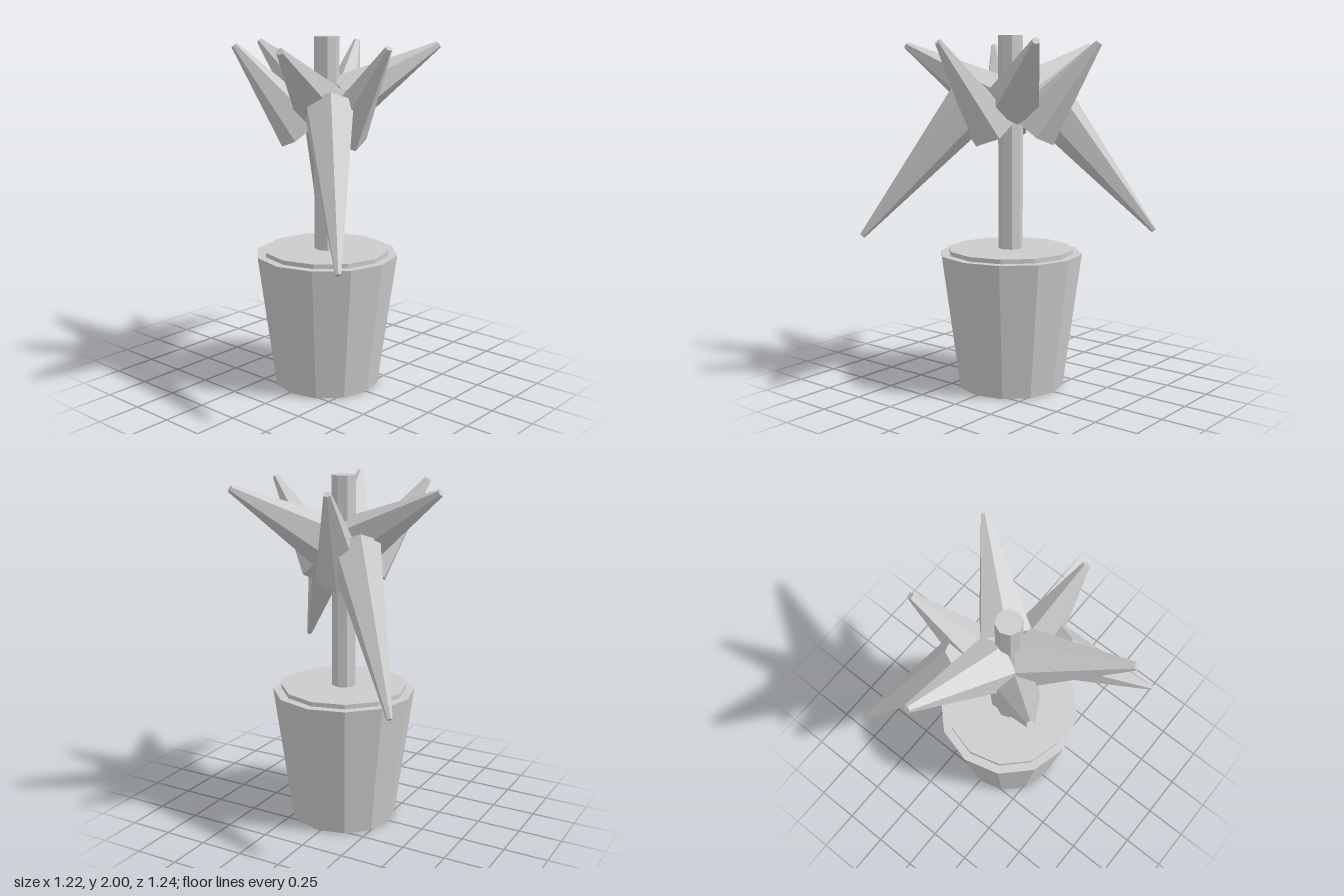
import * as THREE from 'three';

const CENTER_Z = 0.015;
const plainGrey = new THREE.MeshStandardMaterial({ color: 0xcccccc, flatShading: true });
plainGrey.name = 'plainGrey';

// Upright tapered cylinder standing between two heights
function column(name, rTop, rBottom, y0, y1, sides) {
  const geo = new THREE.CylinderGeometry(rTop, rBottom, y1 - y0, sides);
  const mesh = new THREE.Mesh(geo, plainGrey);
  mesh.position.y = (y0 + y1) / 2;
  mesh.name = name;
  return mesh;
}

// Six-sided spike from (r0, y0) to (r1, y1) in the vertical plane at an angle, one ridge on top
function spike(name, degrees, [r0, y0], [r1, y1], rBase, rTip) {
  const a = THREE.MathUtils.degToRad(degrees);
  const point = (r, y) => new THREE.Vector3(Math.cos(a) * r, y, Math.sin(a) * r);
  const base = point(r0, y0), tip = point(r1, y1);
  const axis = tip.clone().sub(base);
  const length = axis.length();
  axis.normalize();
  const side = new THREE.Vector3(-Math.sin(a), 0, Math.cos(a));
  const ridge = new THREE.Vector3().crossVectors(side, axis);
  const mesh = new THREE.Mesh(new THREE.CylinderGeometry(rTip, rBase, length, 6), plainGrey);
  mesh.quaternion.setFromRotationMatrix(new THREE.Matrix4().makeBasis(side, axis, ridge));
  mesh.position.copy(base).add(tip).multiplyScalar(0.5);
  mesh.name = name;
  return mesh;
}

export function createModel() {
  const model = new THREE.Group();
  model.name = 'pottedPlant';
  model.position.z = CENTER_Z;

  // Pot, soil and stem
  model.add(column('pot', 0.41, 0.305, 0, 0.775, 12));
  model.add(column('soil', 0.36, 0.36, 0.76, 0.8, 12));
  model.add(column('stem', 0.07, 0.07, 0.79, 2, 8));

  // Rising leaves: three wide-spread and three steep, alternating
  for (let i = 0; i < 3; i++) {
    model.add(spike('spreadLeaf', -80 + i * 120, [0.107, 1.645], [0.635, 1.95], 0.15, 0.02));
    model.add(spike('steepLeaf', -20 + i * 120, [0.135, 1.485], [0.505, 1.955], 0.147, 0.02));
  }

  // Two long drooping leaves
  for (const angle of [135, -45])
    model.add(spike('droopingLeaf', angle, [0.21, 1.63], [0.84, 0.885], 0.147, 0.016));

  const root = new THREE.Group();
  root.add(model);
  return root;
}
